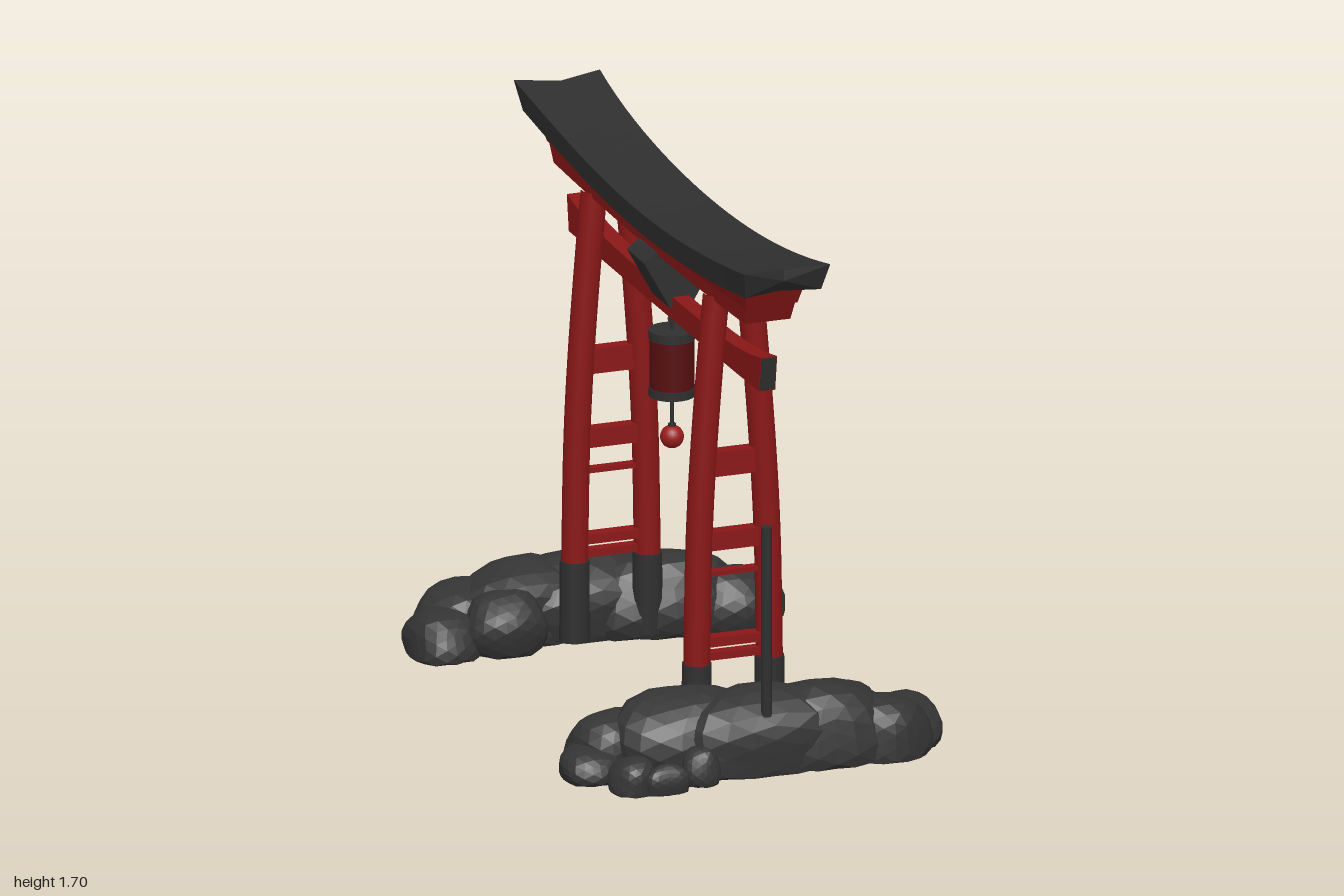
import * as THREE from 'three';

const mat = (name, color) => {
  const m = new THREE.MeshStandardMaterial({ color });
  m.name = name;
  return m;
};

// Solid skinned over rings of [x, y, z] points; rings run along +z, each anticlockwise seen from +z
function loft(rings) {
  const pos = [];
  const n = rings[0].length;
  const tri = (...p) => p.forEach(q => pos.push(...q));
  for (let i = 0; i < rings.length - 1; i++) {
    for (let j = 0; j < n; j++) {
      const k = (j + 1) % n;
      const a = rings[i][j], b = rings[i][k], c = rings[i + 1][k], d = rings[i + 1][j];
      tri(a, b, c);
      tri(a, c, d);
    }
  }
  const cap = (ring, flip) => {
    const mid = [0, 1, 2].map(c => ring.reduce((s, p) => s + p[c], 0) / n);
    ring.forEach((p, j) => {
      const q = ring[(j + 1) % n];
      flip ? tri(mid, q, p) : tri(mid, p, q);
    });
  };
  cap(rings[0], true);
  cap(rings[rings.length - 1], false);
  const g = new THREE.BufferGeometry();
  g.setAttribute('position', new THREE.Float32BufferAttribute(pos, 3));
  g.computeVertexNormals();
  return g;
}

// Beam along z: section(s) gives bottom/top heights, half widths and half lengths at s from -1 to 1
function beam(section, steps = 24) {
  const rings = [];
  for (let i = 0; i <= steps; i++) {
    const s = -1 + (2 * i) / steps;
    const { y0, y1, w0, w1, l0, l1, notch = 0, dip = 0 } = section(s);
    const pull = s * Math.abs(s) ** 7 * notch;
    rings.push([
      [-w0, y0, s * l0], [0, y0, s * l0 - pull], [w0, y0, s * l0],
      [w1, y1, s * l1], [0, y1 - dip, s * l1 - pull], [-w1, y1, s * l1],
    ]);
  }
  return loft(rings);
}

// Lumpy boulder with a flat underside
function boulder([x, y, z, rx, ry, rz], seed) {
  const g = new THREE.IcosahedronGeometry(1, 3);
  const p = g.attributes.position;
  const v = new THREE.Vector3();
  for (let i = 0; i < p.count; i++) {
    v.fromBufferAttribute(p, i);
    const r = 1 + 0.05 * Math.sin(4 * v.x + seed * 1.7) * Math.cos(3 * v.z + seed)
      + 0.04 * Math.sin(5 * v.y + 3 * v.z + seed * 2.3);
    // push the sphere towards a blockier shape
    const block = 1 / Math.pow(v.x ** 4 + v.y ** 4 + v.z ** 4, 0.1);
    v.multiplyScalar(r * (0.4 + 0.6 * block));
    p.setXYZ(i, x + v.x * rx, Math.max(0.01, y + v.y * ry), z + v.z * rz);
  }
  g.computeVertexNormals();
  return g;
}

export function createModel() {
  const group = new THREE.Group();
  const red = mat('lacquer red', 0x8a1717);
  const darkRed = mat('lantern red', 0x560f10);
  const ballRed = mat('ball red', 0x9a1c1c);
  const black = mat('roof black', 0x2f2f2f);
  const stone = mat('stone grey', 0x343434);
  stone.flatShading = true;

  const add = (name, geo, material, x = 0, y = 0, z = 0, parent = group) => {
    const m = new THREE.Mesh(geo, material);
    m.name = name;
    m.position.set(x, y, z);
    parent.add(m);
    return m;
  };
  const cyl = (r, h, sides = 20, r2 = r) => new THREE.CylinderGeometry(r, r2, h, sides);

  // Upswept roof with notched ends
  add('roof', beam(s => ({
    y0: 1.535 + 0.085 * s * s, y1: 1.61 + 0.1 * s * s,
    w0: 0.115 + 0.01 * s ** 4, w1: 0.125 + 0.017 * s ** 4,
    l0: 0.965, l1: 1, notch: 0.03, dip: 0.01 * s * s,
  })), black);

  // Stepped beam under the roof
  add('upperLedge', beam(s => ({
    y0: 1.515 + 0.035 * s * s, y1: 1.545 + 0.06 * s * s,
    w0: 0.085, w1: 0.095, l0: 0.865, l1: 0.89,
  })), red);
  add('upperBeam', beam(s => ({
    y0: 1.472 + 0.015 * s * s, y1: 1.52 + 0.035 * s * s,
    w0: 0.075, w1: 0.08, l0: 0.83, l1: 0.862,
  })), red);

  // Lower tie beam with dark end plates
  add('lowerBeam', beam(s => ({
    y0: 1.257 + 0.003 * s * s, y1: 1.33 + 0.045 * s ** 4,
    w0: 0.027, w1: 0.027, l0: 0.825, l1: 0.842,
  })), red);
  for (const s of [-1, 1]) {
    const plate = add('beamEndPlate', new THREE.BoxGeometry(0.05, 0.11, 0.004), black, 0, 1.318, s * 0.8345);
    plate.rotation.x = s * 0.145;
  }

  // Flared centre plaque
  const plaque = new THREE.Shape();
  [[-0.035, 1.295], [0.035, 1.295], [0.12, 1.45], [0.085, 1.48], [-0.085, 1.48], [-0.12, 1.45]]
    .forEach(([x, y], i) => (i ? plaque.lineTo(x, y) : plaque.moveTo(x, y)));
  add('plaque', new THREE.ExtrudeGeometry(plaque, { depth: 0.15, bevelEnabled: false }), black, 0, 0, -0.075);

  // Hanging lantern
  const lantern = new THREE.Group();
  lantern.name = 'lantern';
  group.add(lantern);
  add('lanternBody', cyl(0.07, 0.19), darkRed, 0, 1.095, 0, lantern);
  for (const y of [1.0, 1.185]) add('lanternRim', cyl(0.073, 0.028), black, 0, y, 0, lantern);
  add('hanger', cyl(0.006, 0.08, 8), black, 0, 1.23, 0, lantern);
  add('hook', new THREE.TorusGeometry(0.011, 0.004, 6, 12), black, 0, 1.235, 0, lantern);
  add('tasselRod', cyl(0.006, 0.11, 8), black, 0, 0.935, 0, lantern);
  add('tasselCap', cyl(0.012, 0.012, 10), black, 0, 0.887, 0, lantern);
  add('ball', new THREE.SphereGeometry(0.037, 20, 14), ballRed, 0, 0.85, 0, lantern);

  // Rungs: height, thickness, depth
  const rungs = [
    [0.94, 0.08, 0.045], [0.69, 0.06, 0.045], [0.583, 0.016, 0.03],
    [0.362, 0.03, 0.045], [0.315, 0.025, 0.035],
  ];
  // Boulders of one mound: centre, radii
  const rocks = [
    [0.02, 0.08, 0.7, 0.3, 0.175, 0.17], [-0.2, 0.08, 0.64, 0.25, 0.175, 0.16],
    [0.22, 0.08, 0.71, 0.24, 0.175, 0.16], [0.33, 0.08, 0.58, 0.13, 0.12, 0.11],
    [0.52, 0.04, 0.64, 0.115, 0.11, 0.145], [0.41, 0.06, 0.74, 0.15, 0.14, 0.13],
    [-0.42, 0.06, 0.58, 0.14, 0.13, 0.12], [-0.52, 0.04, 0.65, 0.095, 0.075, 0.11],
    [-0.44, 0.04, 0.82, 0.075, 0.08, 0.08], [-0.35, 0.04, 0.88, 0.075, 0.06, 0.035],
    [-0.22, 0.05, 0.83, 0.06, 0.08, 0.055],
  ];

  const pillarPath = new THREE.CatmullRomCurve3([
    [0.12, 0.28], [0.112, 0.7], [0.096, 1.0], [0.066, 1.38], [0.055, 1.49],
  ].map(([x, y]) => new THREE.Vector3(x, y, 0)));
  const pillar = new THREE.TubeGeometry(pillarPath, 20, 0.042, 14);

  // Both ends of the gate: the second is the first turned half round
  for (const turn of [0, Math.PI]) {
    const side = new THREE.Group();
    side.name = turn ? 'backSide' : 'frontSide';
    side.rotation.y = turn;
    group.add(side);

    for (const s of [1, -1]) {
      const p = add('pillar', pillar, red, 0, 0, 0.53, side);
      p.rotation.y = s > 0 ? 0 : Math.PI;
      add('pillarFoot', cyl(0.046, 0.26, 14, 0.048), black, s * 0.12, 0.165, 0.53, side);
    }
    for (const [y, h, d] of rungs) {
      add('rung', new THREE.BoxGeometry(0.2, h, d), red, 0, y, 0.53, side);
    }
    add('post', cyl(0.017, 0.615, 10), black, 0, 0.5075, 0.82, side);
    rocks.forEach((r, i) => add('rock', boulder(r, i + 1), stone, 0, 0, 0, side));
  }
  return group;
}
